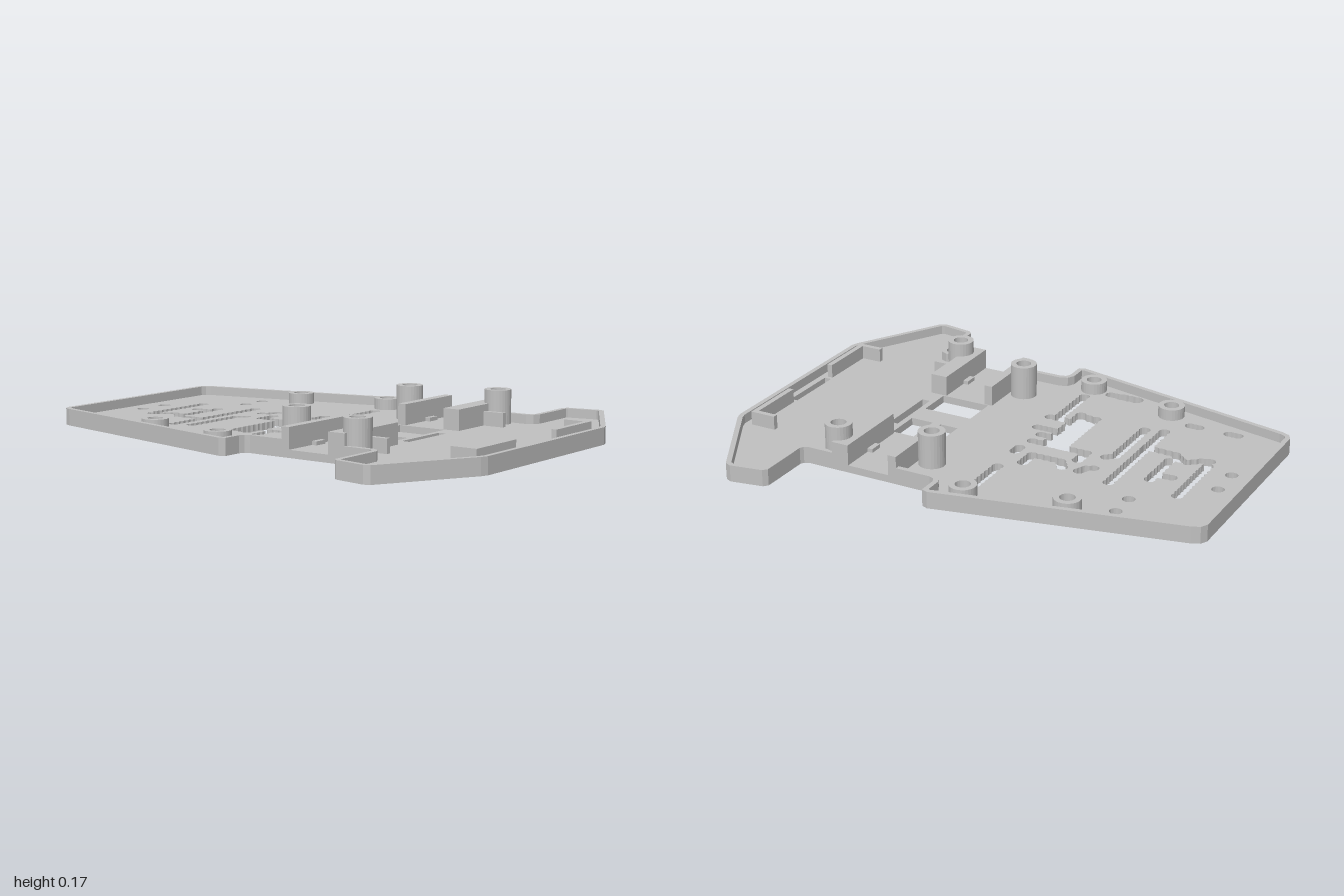
import * as THREE from 'three';

const FLOOR = 0.03, RIM = 0.067, HOLE_R = 0.023;
const V = (x, z) => new THREE.Vector2(x, z);
const mirror = (pts) => pts.map(([x, z]) => [-x, z]).reverse();

// Plan points are [x, z]; a shape is drawn with y = -z, then laid flat.
const loop = (pts) => pts.map(([x, z]) => V(x, -z));
const ring = (x, z, r, n = 28) => Array.from({ length: n }, (_, i) => {
  const a = (i / n) * Math.PI * 2;
  return [x + r * Math.cos(a), z + r * Math.sin(a)];
});
function slab(outline, holes, y0, y1) {
  // Outline runs anticlockwise and holes clockwise, so every wall faces out
  const wind = (pts, clockwise) => {
    const l = loop(pts);
    return THREE.ShapeUtils.isClockWise(l) === clockwise ? l : l.reverse();
  };
  const shape = new THREE.Shape(wind(outline, false));
  holes.forEach((h) => shape.holes.push(new THREE.Path(wind(h, true))));
  const g = new THREE.ExtrudeGeometry(shape, { depth: y1 - y0, bevelEnabled: false });
  return g.rotateX(-Math.PI / 2).translate(0, y0, 0);
}

// Shift an open path sideways, towards the middle of the plate
function inset(pts, d) {
  const normal = (a, b) => V(a[1] - b[1], b[0] - a[0]).normalize();
  return pts.map((p, i) => {
    const n1 = normal(pts[Math.max(i - 1, 0)], pts[Math.max(i, 1)]);
    const last = pts.length - 1;
    const n2 = normal(pts[Math.min(i, last - 1)], pts[Math.min(i + 1, last)]);
    const k = d / (1 + n1.dot(n2));
    return [p[0] + (n1.x + n2.x) * k, p[1] + (n1.y + n2.y) * k];
  });
}

// Drill positions along polylines, close enough to overlap
function drill(paths) {
  const out = [];
  const add = (x, z, r) => {
    if (!out.some((c) => Math.hypot(c.x - x, c.z - z) < 0.01)) out.push({ x, z, r });
  };
  paths.forEach(({ p, r = HOLE_R }) => {
    add(p[0][0], p[0][1], r);
    for (let i = 1; i < p.length; i++) {
      const [a, b] = [p[i - 1], p[i]];
      const n = Math.ceil(Math.hypot(b[0] - a[0], b[1] - a[1]) / 0.031);
      for (let k = 1; k <= n; k++) add(a[0] + (b[0] - a[0]) * k / n, a[1] + (b[1] - a[1]) * k / n, r);
    }
  });
  return out;
}

// Outer contours of the union of the drilled circles
function unionLoops(circles) {
  const arcs = [], loops = [];
  circles.forEach((c) => {
    const others = circles.filter((o) => o !== c);
    const cuts = [];
    others.forEach((o) => {
      const d = Math.hypot(o.x - c.x, o.z - c.z);
      if (d >= c.r + o.r || d <= Math.abs(c.r - o.r)) return;
      const mid = Math.atan2(o.z - c.z, o.x - c.x);
      const w = Math.acos((d * d + c.r * c.r - o.r * o.r) / (2 * d * c.r));
      [mid - w, mid + w].forEach((a) => cuts.push((a + 4 * Math.PI) % (2 * Math.PI)));
    });
    if (!cuts.length) { loops.push(ring(c.x, c.z, c.r, 16)); return; }
    cuts.sort((a, b) => a - b);
    cuts.forEach((a, i) => {
      const b = i + 1 < cuts.length ? cuts[i + 1] : cuts[0] + 2 * Math.PI;
      const at = (t) => [c.x + c.r * Math.cos(t), c.z + c.r * Math.sin(t)];
      const m = at((a + b) / 2);
      if (b - a < 1e-6 || others.some((o) => Math.hypot(o.x - m[0], o.z - m[1]) < o.r)) return;
      const n = Math.ceil((b - a) / 0.5);
      arcs.push(Array.from({ length: n + 1 }, (_, k) => at(a + (b - a) * k / n)));
    });
  });
  while (arcs.length) {
    const pts = arcs.pop();
    for (;;) {
      const e = pts[pts.length - 1];
      const i = arcs.findIndex((s) => Math.hypot(s[0][0] - e[0], s[0][1] - e[1]) < 1e-6);
      if (i < 0) break;
      pts.push(...arcs.splice(i, 1)[0].slice(1));
    }
    pts.pop();
    if (THREE.ShapeUtils.area(pts.map(([x, z]) => V(x, z))) > 0) loops.push(pts);
  }
  return loops;
}

export function createModel() {
  const model = new THREE.Group();
  model.name = 'chassisPlate';
  const grey = new THREE.MeshStandardMaterial({ color: 0xc0c0c0 });
  grey.name = 'grey plastic';
  const add = (name, geometry) => {
    const m = new THREE.Mesh(geometry, grey);
    m.name = name;
    model.add(m);
  };
  const box = (name, x0, x1, y0, y1, z0, z1) => add(name,
    new THREE.BoxGeometry(x1 - x0, y1 - y0, z1 - z0).translate((x0 + x1) / 2, (y0 + y1) / 2, (z0 + z1) / 2));
  const rect = (x0, x1, z0, z1) => [[x0, z0], [x1, z0], [x1, z1], [x0, z1]];

  // Plate outline, right half, back then front
  const back = [[0.405, -1], [0.432, -0.985], [0.446, -0.955], [0.652, 0], [0.642, 0.025],
    [0.565, 0.025], [0.545, 0.035], [0.537, 0.055], [0.537, 0.235]];
  const front = [[0.537, 0.412], [0.537, 0.59], [0.545, 0.607], [0.56, 0.615], [0.77, 0.615],
    [0.787, 0.63], [0.81, 0.76], [0.8, 0.785], [0.44, 0.99], [0.41, 1]];
  const backPath = [...mirror(back), ...back];
  const frontPath = [...front, ...mirror(front)];

  // Scalloped wiring slots and drill holes
  const slots = unionLoops(drill([
    { p: [[-0.07, -0.897]], r: 0.025 }, { p: [[0.063, -0.897]], r: 0.025 },
    { p: [[0.29, -0.641]], r: 0.025 }, { p: [[0.4, -0.641]], r: 0.025 },
    { p: [[-0.405, -0.785], [-0.405, -0.75]] }, { p: [[-0.405, -0.62], [-0.405, -0.585]] },
    { p: [[-0.1, -0.787], [0.183, -0.787]] },
    { p: [[-0.14, -0.78], [-0.13, -0.75], [-0.093, -0.707], [-0.1, -0.677], [-0.135, -0.637], [-0.14, -0.517]] },
    { p: [[-0.075, -0.641], [0.105, -0.641]] }, { p: [[0.055, -0.707], [0.06, -0.641]] },
    { p: [[-0.305, -0.517], [0.2, -0.517]] },
    { p: [[-0.285, -0.442], [-0.015, -0.442], [0.01, -0.415]] },
    { p: [[0.12, -0.415], [0.133, -0.392], [0.167, -0.377]] },
    { p: [[0.167, -0.307], [0.125, -0.277], [0.125, -0.157]] },
    { p: [[0.085, -0.331], [0.013, -0.331], [0.013, -0.1]] },
    { p: [[-0.285, -0.227], [0.013, -0.227]] }, { p: [[-0.285, -0.193], [0, -0.193]] },
    { p: [[-0.295, -0.157], [0.013, -0.157]] }, { p: [[0.125, -0.157], [0.2, -0.157]] },
    { p: [[-0.465, -0.088], [-0.22, -0.088]] }, { p: [[-0.22, -0.147], [-0.22, -0.058]] },
    { p: [[-0.11, -0.127], [-0.11, -0.058]] }, { p: [[-0.055, -0.127], [-0.055, -0.103]] },
    { p: [[0.09, -0.083], [0.125, -0.083]] }, { p: [[0.275, -0.088], [0.45, -0.088]] },
    { p: [[-0.532, -0.29], [-0.532, -0.23]], r: 0.03 }, { p: [[-0.532, -0.21], [-0.532, -0.178]], r: 0.024 },
  ]));

  // Post positions: short ones at the back, tall ones at the front
  const shortPosts = [], tallPosts = [];
  for (const s of [-1, 1]) {
    shortPosts.push([s * 0.462, -0.477], [s * 0.547, -0.092]);
    tallPosts.push([s * 0.37, 0.142], [s * 0.47, 0.493]);
  }

  // Floor with all its openings
  add('floor', slab([...backPath, ...frontPath], [
    ...slots,
    rect(-0.2, -0.053, 0.215, 0.423), rect(0.05, 0.197, 0.215, 0.423),
    rect(-0.127, 0.123, 0.446, 0.48), rect(-0.127, 0.123, 0.924, 0.954),
    ...shortPosts.map(([x, z]) => ring(x, z, 0.045)),
    ...tallPosts.map(([x, z]) => ring(x, z, 0.043, 6)),
  ], 0, FLOOR));

  // Raised rims, open at the sides between the brackets
  add('backRim', slab([...backPath, ...inset(backPath, 0.02).reverse()], [], FLOOR, RIM));
  add('frontRim', slab([...frontPath, ...inset(frontPath, 0.02).reverse()], [], FLOOR, RIM));

  // Short screw posts with a counterbore below
  shortPosts.forEach(([x, z]) => {
    add('shortPost', slab(ring(x, z, 0.053), [ring(x, z, 0.03)], FLOOR, 0.075));
  });

  // Tall posts with a hexagonal nut pocket below
  tallPosts.forEach(([x, z]) => {
    add('tallPostBase', slab(ring(x, z, 0.053), [ring(x, z, 0.043, 6)], FLOOR, 0.09));
    add('tallPost', slab(ring(x, z, 0.053), [ring(x, z, 0.03)], 0.09, 0.166));
  });

  for (const s of [-1, 1]) {
    const sideBox = (name, x0, x1, y1, z0, z1) =>
      box(name, Math.min(s * x0, s * x1), Math.max(s * x0, s * x1), FLOOR, y1, z0, z1);
    // Motor brackets, the front one notched around its post
    sideBox('backBracket', 0.205, 0.537, 0.113, 0.2, 0.235);
    const notch = Array.from({ length: 11 }, (_, i) => {
      const a = -0.224 - (Math.PI - 0.448) * i / 10;
      return [0.47 + 0.045 * Math.cos(a), 0.493 + 0.045 * Math.sin(a)];
    });
    const outline = [[0.205, 0.412], [0.537, 0.412], [0.537, 0.483], ...notch, [0.205, 0.483]];
    add('frontBracket', slab(outline.map(([x, z]) => [s * x, z]), [], FLOOR, 0.113));
    // Locating nubs and ribs
    sideBox('backNub', 0.345, 0.4, 0.045, 0.235, 0.256);
    sideBox('frontNub', 0.345, 0.4, 0.045, 0.39, 0.412);
    sideBox('postRib', 0.382, 0.403, 0.086, 0.483, 0.572);
    sideBox('frontRib', 0.142, 0.403, 0.086, 0.927, 0.949);
    sideBox('cornerRib', 0.382, 0.403, 0.086, 0.842, 0.927);
  }
  return model;
}
